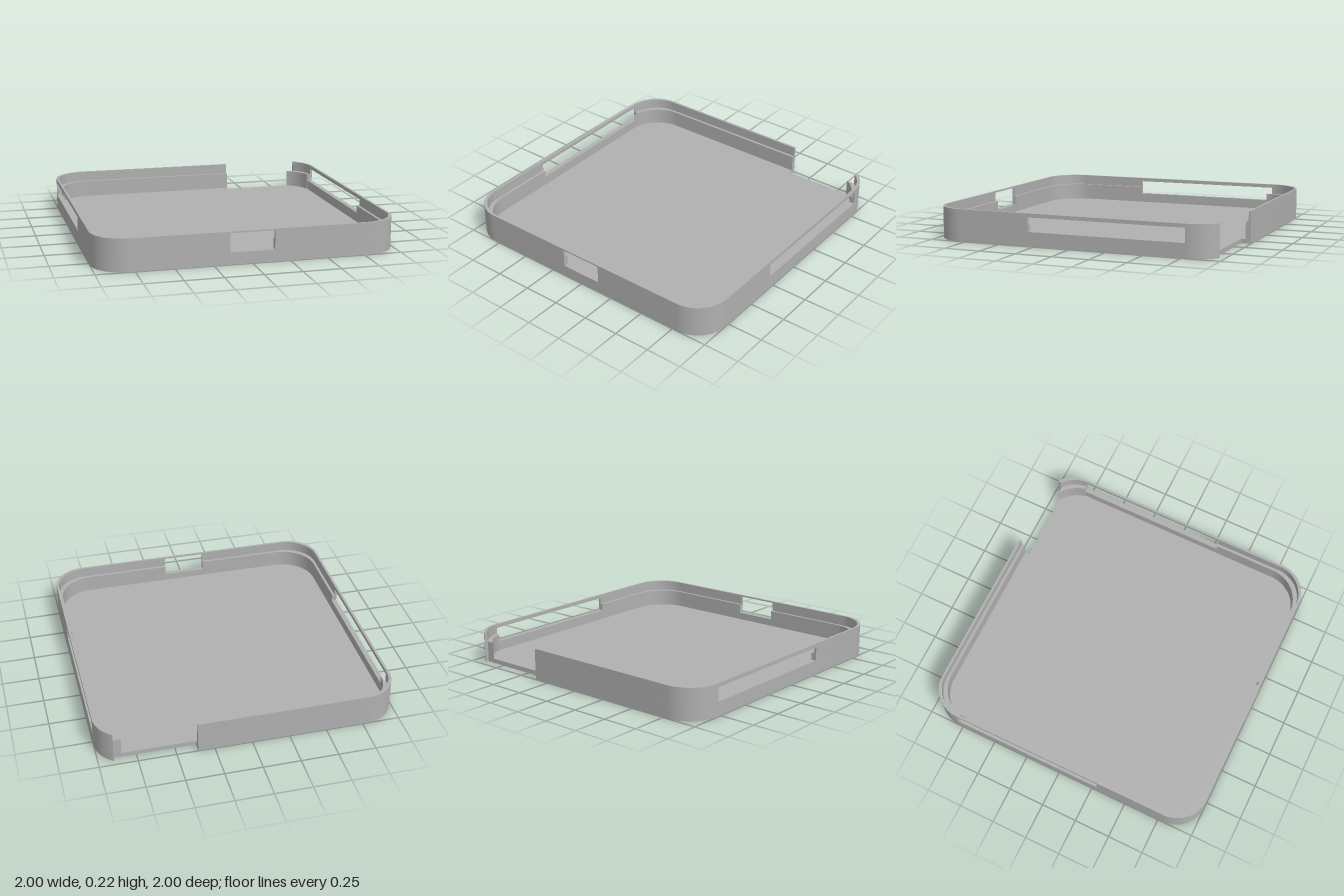
import * as THREE from 'three';
import { toCreasedNormals } from 'three/addons/utils/BufferGeometryUtils.js';

// Rounded-square outlines: corner centre c and corner radius r
const OUTER = { c: 0.78, r: 0.22 };
const LIP = { c: 0.765, r: 0.219 };
const INNER = { c: 0.73, r: 0.235 };

const FLOOR = 0.03, LEDGE = 0.145, TOP = 0.215;
const SIDE = { front: 0.29, back: -0.775, low: 0.096, high: 0.19 };
const FRONT = { half: 0.146, low: 0.08, high: 0.205 };
const NOTCH = { x0: 0.36, x1: 0.9, depth: 0.935 };

export function createModel() {
  const tray = new THREE.Group();
  tray.name = 'openTray';
  const grey = new THREE.MeshStandardMaterial({ color: 0xb0b0b0 });
  grey.name = 'grey';

  const add = (name, geometry) => {
    const mesh = new THREE.Mesh(geometry, grey);
    mesh.name = name;
    tray.add(mesh);
  };

  // Plan points (x, -z) extruded upward from y0 to y1
  const slab = (name, points, y0, y1) => {
    const g = new THREE.ExtrudeGeometry(new THREE.Shape(points), { depth: y1 - y0, bevelEnabled: false });
    g.rotateX(-Math.PI / 2).translate(0, y0, 0);
    add(name, toCreasedNormals(g, 0.5));
  };

  const block = (name, x0, x1, y0, y1, z0, z1) => {
    const g = new THREE.BoxGeometry(x1 - x0, y1 - y0, z1 - z0);
    add(name, g.translate((x0 + x1) / 2, (y0 + y1) / 2, (z0 + z1) / 2));
  };

  // Quarter corner, from the front or back edge round to the side edge
  const arc = ({ c, r }, sx, sy, start = Math.PI / 2, n = 20) =>
    Array.from({ length: n + 1 }, (_, i) => {
      const a = start * (1 - i / n);
      return new THREE.Vector2(sx * (c + r * Math.cos(a)), sy * (c + r * Math.sin(a)));
    });

  // Wall strip round one corner, ending at x = endX and -z = endY
  const strip = (inside, sx, sy, endX, endY) => {
    const edge = (o) => [
      new THREE.Vector2(endX, sy * (o.c + o.r)),
      ...arc(o, sx, sy),
      new THREE.Vector2(sx * (o.c + o.r), endY),
    ];
    return [...edge(OUTER), ...edge(inside).reverse()];
  };

  // Floor with the notch at the back
  const v = (x, y) => new THREE.Vector2(x, y);
  const cutAngle = Math.acos((NOTCH.x1 - OUTER.c) / OUTER.r);
  slab('floor', [
    v(NOTCH.x0, NOTCH.depth), v(NOTCH.x1, NOTCH.depth),
    ...arc(OUTER, 1, 1, cutAngle),
    ...arc(OUTER, 1, -1).reverse(),
    ...arc(OUTER, -1, -1),
    ...arc(OUTER, -1, 1).reverse(),
    v(NOTCH.x0, 1),
  ], 0, FLOOR);

  // Thick lower wall with a thin lip above, leaving a ledge inside
  for (const [part, inside, y0, y1] of [['Wall', INNER, FLOOR, LEDGE], ['Lip', LIP, LEDGE, TOP]]) {
    slab('backRight' + part, strip(inside, -1, 1, NOTCH.x0, -SIDE.back), y0, y1);
    slab('frontRight' + part, strip(inside, -1, -1, -FRONT.half, -SIDE.front), y0, y1);
    slab('frontLeft' + part, strip(inside, 1, -1, FRONT.half, -SIDE.front), y0, y1);

    // Last corner is cut off by the notch
    const start = inside === INNER
      ? Math.asin((NOTCH.depth - INNER.c) / INNER.r)
      : Math.acos((NOTCH.x1 - LIP.c) / LIP.r);
    const corner = [
      ...arc(OUTER, 1, 1, cutAngle), v(1, -SIDE.back),
      v(inside.c + inside.r, -SIDE.back),
      ...arc(inside, 1, 1, start).filter((p) => p.y > -SIDE.back).reverse(),
    ];
    if (inside === INNER) corner.push(v(NOTCH.x1, NOTCH.depth));
    slab('backLeft' + part, corner, y0, y1);
  }

  // Wall below and thin bar above each side opening
  const inner = INNER.c + INNER.r, lip = LIP.c + LIP.r;
  for (const [side, s] of [['left', 1], ['right', -1]]) {
    const span = (t) => (s > 0 ? [t, 1] : [-1, -t]);
    block(side + 'OpeningSill', ...span(inner), FLOOR, SIDE.low, SIDE.back, SIDE.front);
    block(side + 'OpeningBar', ...span(lip), SIDE.high, TOP, SIDE.back, SIDE.front);
  }

  // Front opening
  block('frontOpeningSill', -FRONT.half, FRONT.half, FLOOR, FRONT.low, inner, 1);
  block('frontOpeningBar', -FRONT.half, FRONT.half, FRONT.high, TOP, lip, 1);

  return tray;
}
